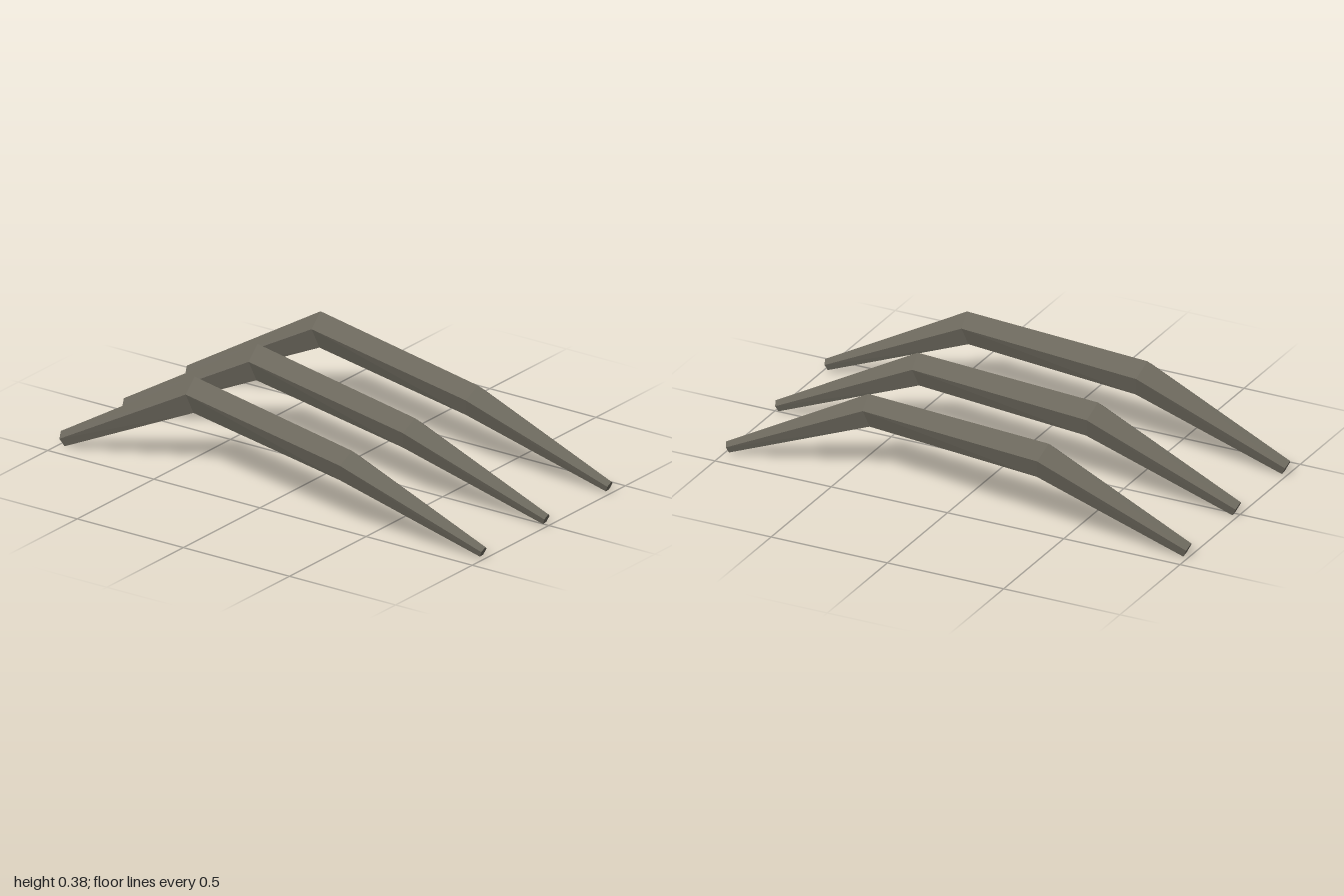
import * as THREE from 'three';

const SIDES = 5;

// Bent, tapered five-sided bar swept through a few stations with mitred joints
function createBarGeometry(stations) {
  const points = stations.map(s => new THREE.Vector3(...s.at));
  const direction = i => points[i + 1].clone().sub(points[i]).normalize();
  const last = points.length - 1;

  const rings = points.map((centre, i) => {
    const tangent = new THREE.Vector3();
    if (i > 0) tangent.add(direction(i - 1));
    if (i < last) tangent.add(direction(i));
    tangent.normalize();
    const side = tangent.clone().cross(new THREE.Vector3(0, 1, 0)).normalize();
    const up = side.clone().cross(tangent);
    return Array.from({ length: SIDES }, (_, k) => {
      const a = (k / SIDES) * Math.PI * 2;
      return centre.clone()
        .addScaledVector(up, stations[i].radius * Math.cos(a))
        .addScaledVector(side, stations[i].radius * Math.sin(a));
    });
  });

  const triangles = [];
  // Long faces
  for (let i = 0; i < last; i++) {
    for (let k = 0; k < SIDES; k++) {
      const n = (k + 1) % SIDES;
      const [a, b, c, d] = [rings[i][k], rings[i][n], rings[i + 1][n], rings[i + 1][k]];
      triangles.push(a, b, c, a, c, d);
    }
  }
  // End caps
  for (let k = 1; k < SIDES - 1; k++) {
    triangles.push(rings[0][0], rings[0][k + 1], rings[0][k]);
    triangles.push(rings[last][0], rings[last][k], rings[last][k + 1]);
  }

  const geometry = new THREE.BufferGeometry().setFromPoints(triangles);
  geometry.computeVertexNormals();
  return geometry;
}

export function createModel() {
  const model = new THREE.Group();
  model.name = 'bentBars';

  const stone = new THREE.MeshStandardMaterial({ color: 0x6b675c, flatShading: true });
  stone.name = 'warm grey';

  const geometry = createBarGeometry([
    { at: [-0.987, 0.027, 0], radius: 0.032 },
    { at: [-0.415, 0.316, -0.08], radius: 0.073 },
    { at: [0.415, 0.275, 0.084], radius: 0.066 },
    { at: [0.989, 0.028, 0.001], radius: 0.023 },
  ]);

  // Three equal bars side by side
  ['backBar', 'middleBar', 'frontBar'].forEach((name, i) => {
    const bar = new THREE.Mesh(geometry, stone);
    bar.name = name;
    bar.position.z = (i - 1) * 0.411;
    model.add(bar);
  });

  return model;
}
